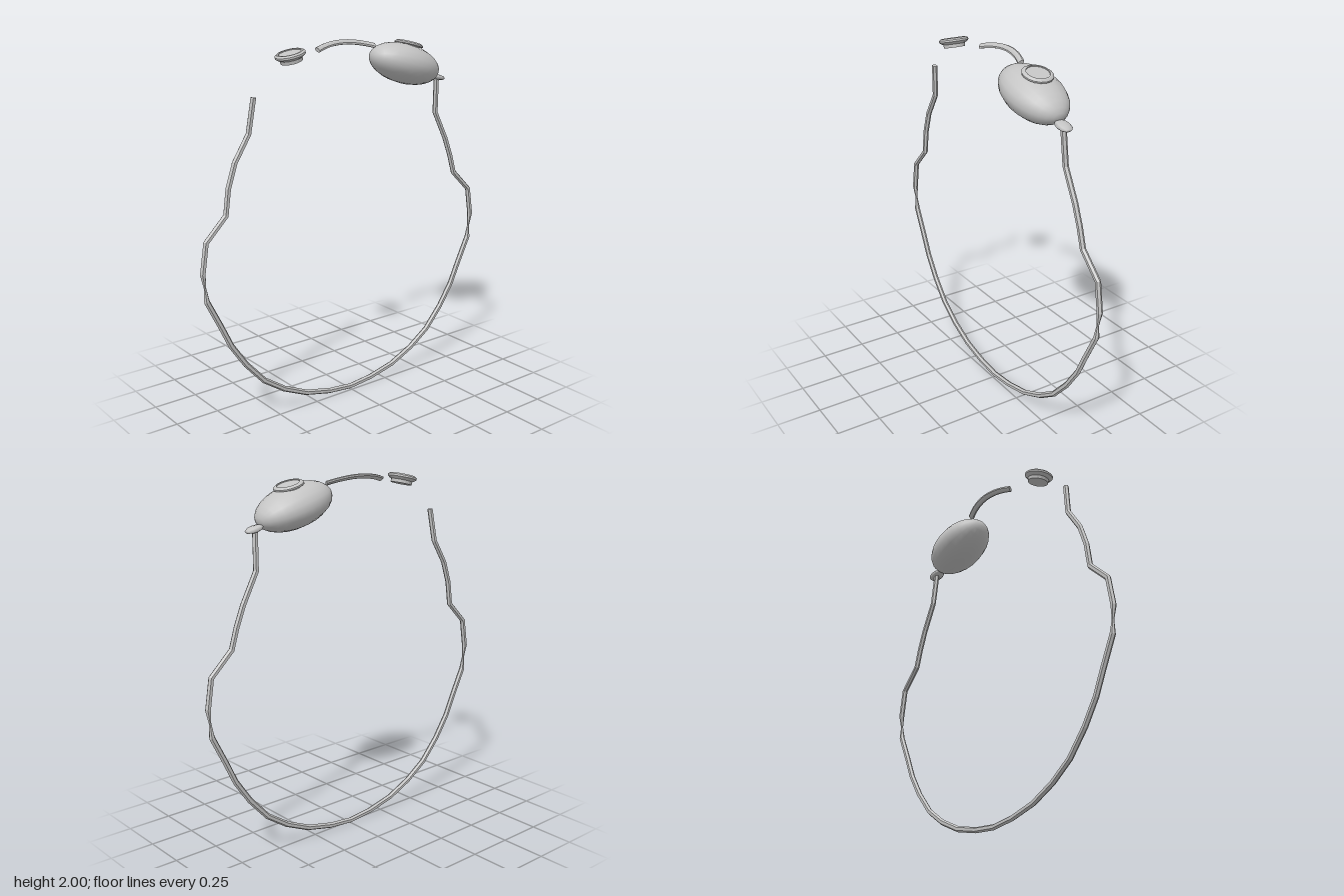
import * as THREE from 'three';

const V = (x, y, z) => new THREE.Vector3(x, y, z);

// Sweeps a diamond or polygon section along points; "side" is one fixed axis of the section.
function sweep(points, side, a, b, sides, scaleAt = () => 1, turn = 0) {
  const pos = [], idx = [], last = points.length - 1;
  points.forEach((p, i) => {
    const t = points[Math.min(i + 1, last)].clone().sub(points[Math.max(i - 1, 0)]).normalize();
    const n = t.clone().cross(side).normalize();
    for (let j = 0; j < sides; j++) {
      const w = turn + (j / sides) * Math.PI * 2, s = scaleAt(i);
      const q = p.clone().addScaledVector(side, Math.cos(w) * a * s).addScaledVector(n, Math.sin(w) * b * s);
      pos.push(q.x, q.y, q.z);
    }
  });
  for (let i = 0; i < last; i++) {
    for (let j = 0; j < sides; j++) {
      const k = (j + 1) % sides, r = i * sides, u = r + sides;
      idx.push(r + j, r + k, u + k, r + j, u + k, u + j);
    }
  }
  // End caps
  for (let j = 1; j < sides - 1; j++) {
    const e = last * sides;
    idx.push(0, j + 1, j, e, e + j, e + j + 1);
  }
  const g = new THREE.BufferGeometry();
  g.setAttribute('position', new THREE.Float32BufferAttribute(pos, 3));
  g.setIndex(idx);
  const flat = g.toNonIndexed();
  flat.computeVertexNormals();
  return flat;
}

// Turned part with hard edges, profile listed from the bottom centre to the top centre.
function turned(profile, segments = 16) {
  const g = new THREE.LatheGeometry(profile.map(([r, y]) => new THREE.Vector2(r, y)), segments).toNonIndexed();
  g.computeVertexNormals();
  return g;
}

export function createModel() {
  const model = new THREE.Group();
  const grey = new THREE.MeshStandardMaterial({ color: 0xc4c4c4 });
  grey.name = 'plain grey';

  const add = (name, geometry, parent = model) => {
    const mesh = new THREE.Mesh(geometry, grey);
    mesh.name = name;
    parent.add(mesh);
    return mesh;
  };

  // Tilted flask body with its neck ring
  const flask = new THREE.Group();
  flask.name = 'flask';
  flask.position.set(0, 1.852, -0.366);
  flask.rotation.x = -0.285;
  model.add(flask);
  const body = new THREE.SphereGeometry(1, 20, 14);
  body.rotateX(Math.PI / 2);
  body.scale(0.15, 0.109, 0.228);
  add('flaskBody', body, flask);
  add('neckRing', turned([
    [0, 0.085], [0.066, 0.085], [0.066, 0.1], [0.08, 0.104],
    [0.08, 0.112], [0.068, 0.12], [0.06, 0.12], [0.06, 0.115], [0, 0.115],
  ]), flask);

  // Small flattened lug behind the flask
  const lugShape = new THREE.SphereGeometry(1, 8, 6);
  lugShape.rotateX(Math.PI / 2);
  lugShape.scale(0.042, 0.016, 0.051);
  const lug = add('cordLug', lugShape);
  lug.position.set(0, 1.76, -0.613);
  lug.rotation.x = -0.27;

  // Loose stopper in front
  const stopper = add('stopper', turned([
    [0, -0.03], [0.058, -0.03], [0.06, -0.012], [0.068, -0.008], [0.08, 0.002],
    [0.08, 0.012], [0.07, 0.02], [0.06, 0.02], [0.06, 0.015], [0, 0.015],
  ]));
  stopper.position.set(0, 1.944, 0.39);
  stopper.rotation.x = 0.25;

  // Curved handle, arched sideways and up
  const arc = [];
  for (let i = 0; i <= 10; i++) {
    const u = i / 5 - 1, rise = 1 - u * u;
    arc.push(V(-0.045 - 0.036 * rise, 1.957 + 0.027 * rise, 0.19 * u));
  }
  add('handle', sweep(arc, V(0.6, 0.8, 0), 0.01, 0.018, 8));

  // Hanging cord: front strand, bottom curve, back strand, as [z, y]
  const front = [[0.614, 1.757], [0.64, 1.575], [0.725, 1.44], [0.767, 1.315], [0.786, 1.18]];
  const back = [[0.61, 1.757], [0.62, 1.555], [0.704, 1.395], [0.746, 1.29], [0.78, 1.18]];
  const half = [
    [0.905, 1.06], [0.931, 0.9], [0.922, 0.827], [0.915, 0.753], [0.84, 0.6], [0.783, 0.477],
    [0.698, 0.35], [0.587, 0.225], [0.46, 0.138], [0.312, 0.07], [0.15, 0.032],
  ];
  const mirror = ([z, y]) => [-z, y];
  const path = [...front, ...half, [0, 0.017], ...half.map(mirror).reverse(), ...back.map(mirror).reverse()];
  const cord = path.map(([z, y]) => V(y > 1.7 ? -0.002 : -0.016, y, z));
  // The cord narrows where it twists
  const pinch = (i) => (path[i][1] === 0.827 ? 0.4 : 1);
  add('cord', sweep(cord, V(1, 0, 0), 0.015, 0.016, 6, pinch, Math.PI / 6));

  return model;
}
